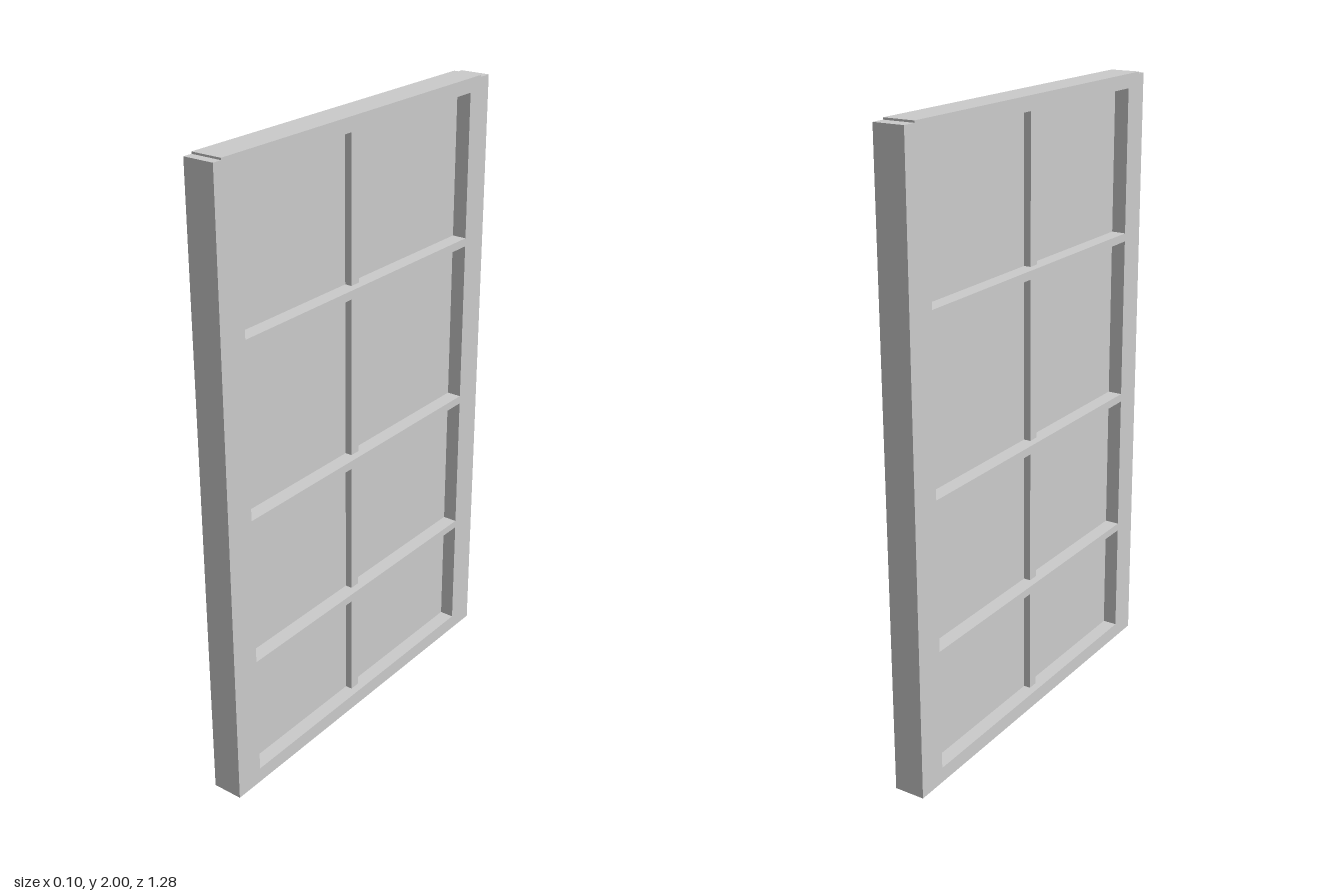
import * as THREE from 'three';

const HALF_DEPTH = 0.05;
const Z_MIN = -0.537, Z_MAX = 0.54; // sides of the openings
const ROWS = [[0.05, 0.422], [0.448, 0.904], [0.931, 1.461], [1.488, 1.955]]; // bottom, top

export function createModel() {
  const group = new THREE.Group();
  group.name = 'window';
  const material = new THREE.MeshStandardMaterial({ color: 0xcccccc });

  const add = (name, geometry) => {
    const mesh = new THREE.Mesh(geometry, material);
    mesh.name = name;
    group.add(mesh);
    return mesh;
  };
  const bar = (name, depth, z0, z1, y0, y1) =>
    add(name, new THREE.BoxGeometry(depth, y1 - y0, z1 - z0))
      .position.set(0, (y0 + y1) / 2, (z0 + z1) / 2);

  // Frame with crossbars: outline in (z, y), top rail slightly proud of the stiles
  const outline = new THREE.Shape([
    [-0.638, 0], [0.638, 0], [0.638, 1.994], [0.608, 1.994],
    [0.608, 2], [-0.594, 2], [-0.594, 1.994], [-0.638, 1.994],
  ].map(([z, y]) => new THREE.Vector2(z, y)));
  for (const [y0, y1] of ROWS) {
    outline.holes.push(new THREE.Path([
      new THREE.Vector2(Z_MIN, y0), new THREE.Vector2(Z_MIN, y1),
      new THREE.Vector2(Z_MAX, y1), new THREE.Vector2(Z_MAX, y0),
    ]));
  }
  const frame = new THREE.ExtrudeGeometry(outline, { depth: 2 * HALF_DEPTH, bevelEnabled: false });
  frame.translate(0, 0, -HALF_DEPTH).rotateY(-Math.PI / 2);
  add('frame', frame);

  // Thin pane and recessed upright in each opening
  ROWS.forEach(([y0, y1], i) => {
    bar(`pane${i + 1}`, 0.004, Z_MIN, Z_MAX, y0, y1);
    bar(`mullion${i + 1}`, 0.05, 0, 0.036, y0, y1);
  });

  return group;
}
